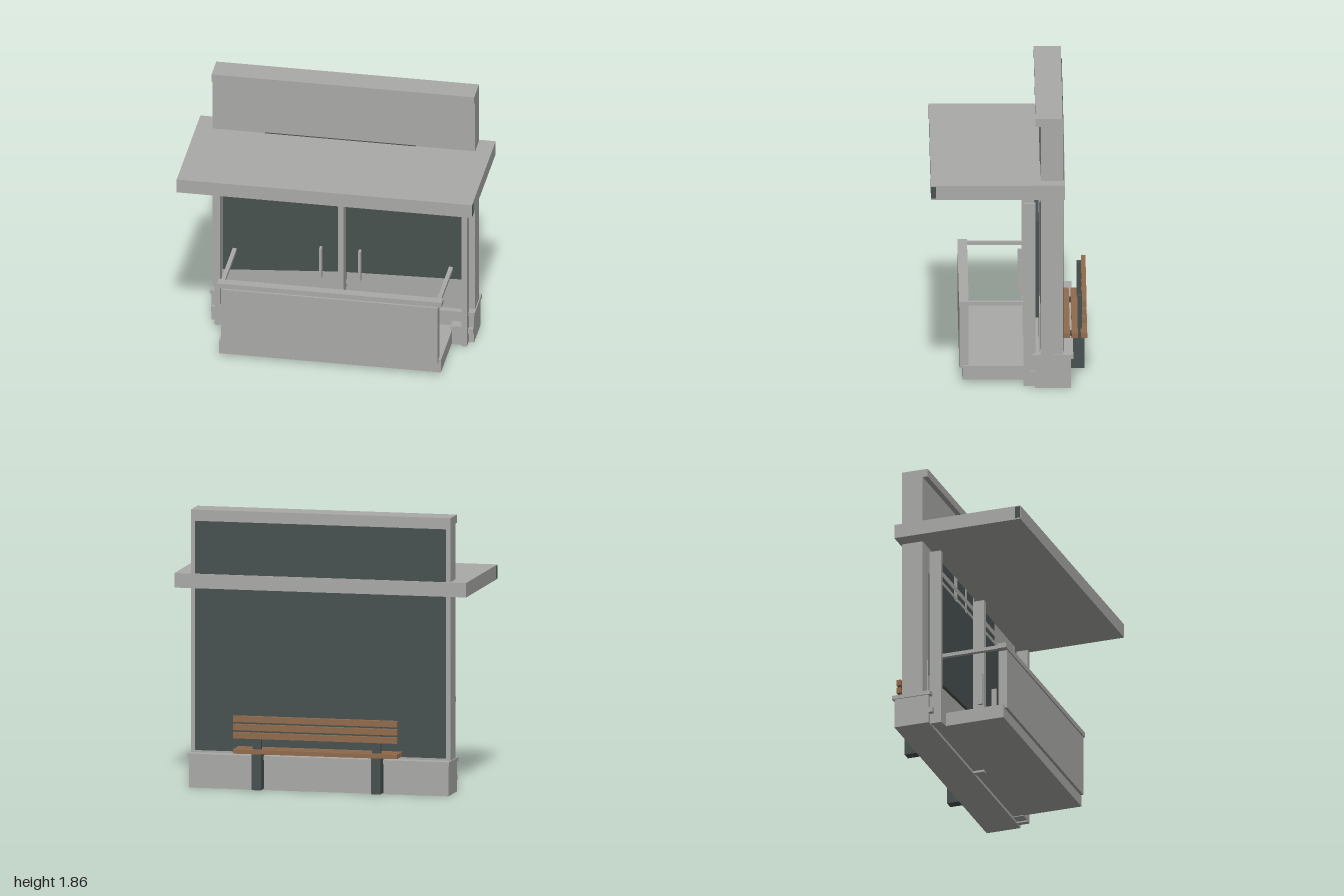
import * as THREE from 'three';

const mat = (name, color) => {
  const m = new THREE.MeshStandardMaterial({ color });
  m.name = name;
  return m;
};

export function createModel() {
  const model = new THREE.Group();
  model.name = 'kioskWithBench';
  const grey = mat('concreteGrey', 0xaaaaa8);
  const dark = mat('darkSlate', 0x485250);
  const wood = mat('benchWood', 0x916b4d);

  // Box given by its limits on each axis
  const box = (name, m, x0, x1, y0, y1, z0, z1, parent = model) => {
    const mesh = new THREE.Mesh(new THREE.BoxGeometry(x1 - x0, y1 - y0, z1 - z0), m);
    mesh.position.set((x0 + x1) / 2, (y0 + y1) / 2, (z0 + z1) / 2);
    mesh.name = name;
    parent.add(mesh);
    return mesh;
  };
  // Box and its mirror image across x = 0
  const pair = (name, m, x0, x1, ...rest) => {
    box(name + 'Left', m, x0, x1, ...rest);
    box(name + 'Right', m, -x1, -x0, ...rest);
  };

  // Wall, its coping, and the back panel
  box('wall', grey, -0.885, 0.885, 0.2, 1.81, -0.355, -0.21);
  box('wallCap', grey, -0.885, 0.885, 1.805, 1.86, -0.355, -0.175);
  box('backPanel', dark, -0.855, 0.855, 0.25, 1.785, -0.361, -0.353);

  // Canopy with dark end plates near its front edge
  box('canopy', grey, -0.995, 0.995, 1.335, 1.432, -0.37, 0.52);
  pair('canopyEndPlate', dark, 0.992, 0.998, 1.345, 1.425, 0.485, 0.518);

  // Plinth
  box('plinth', grey, -0.885, 0.885, 0.005, 0.215, -0.41, -0.17);
  box('plinthCap', grey, -0.892, 0.892, 0.208, 0.235, -0.425, -0.155);
  pair('plinthFoot', grey, 0.80, 0.883, 0.08, 0.118, -0.175, -0.142);
  pair('plinthBlock', grey, 0.74, 0.82, 0.02, 0.155, -0.175, -0.095);

  // Latticed window behind the panels
  box('windowPane', dark, -0.53, 0.485, 0.27, 1.437, -0.212, -0.206);
  for (const x of [-0.29, -0.255, -0.075, 0.075, 0.25, 0.285])
    box('windowBar', grey, x - 0.01, x + 0.01, 0.25, 1.40, -0.21, -0.201);
  for (const [y, h] of [[1.25, 0.035], [1.185, 0.022], [0.36, 0.03], [0.31, 0.03]])
    box('windowRail', grey, -0.535, 0.488, y - h / 2, y + h / 2, -0.21, -0.201);

  // Dark front panels with slightly slanted lower edges
  const panel = (name, x0, x1, yb0, yb1) => {
    const s = new THREE.Shape([
      new THREE.Vector2(x0, yb0), new THREE.Vector2(x1, yb1),
      new THREE.Vector2(x1, 1.13), new THREE.Vector2(x0, 1.13),
    ]);
    const mesh = new THREE.Mesh(new THREE.ExtrudeGeometry(s, { depth: 0.022, bevelEnabled: false }), dark);
    mesh.position.z = -0.198;
    mesh.name = name;
    model.add(mesh);
  };
  panel('frontPanelRight', -0.81, -0.015, 0.39, 0.45);
  panel('frontPanelLeft', 0.015, 0.805, 0.45, 0.47);
  pair('lowerPanel', grey, 0.02, 0.81, 0.2, 0.5, -0.208, -0.199);

  // Posts and door handles
  pair('sidePost', grey, 0.815, 0.85, 0.01, 1.265, -0.175, -0.095);
  box('centrePost', grey, -0.02, 0.02, 0.01, 1.265, -0.175, -0.095);
  pair('handle', grey, 0.123, 0.14, 0.45, 0.675, -0.095, -0.063);

  // Counter enclosure: floor, front panel, ledge and side rails
  box('enclosureFloor', grey, -0.748, 0.748, 0.025, 0.12, -0.17, 0.31);
  box('counterFront', grey, -0.73, 0.73, 0.1, 0.52, 0.268, 0.33);
  box('counterLedge', grey, -0.757, 0.757, 0.53, 0.565, 0.268, 0.332);
  box('ledgeSupport', grey, -0.02, 0.02, 0.515, 0.535, 0.285, 0.315);
  pair('sideRail', grey, 0.715, 0.742, 0.535, 0.56, -0.175, 0.27);

  // Bench at the back
  const bench = new THREE.Group();
  bench.name = 'bench';
  model.add(bench);
  for (const z of [-0.405, -0.46, -0.52])
    box('seatSlat', wood, -0.56, 0.56, 0.258, 0.287, z, z + 0.043, bench);
  for (const y of [0.36, 0.415, 0.47])
    box('backSlat', wood, -0.56, 0.56, y, y + 0.04, -0.516, -0.485, bench);
  for (const x of [-0.41, 0.405]) {
    box('benchLeg', dark, x - 0.032, x + 0.032, 0.015, 0.255, -0.502, -0.41, bench);
    box('seatBracket', dark, x - 0.032, x + 0.032, 0.238, 0.258, -0.502, -0.36, bench);
    box('backSupport', dark, x - 0.03, x + 0.03, 0.25, 0.51, -0.485, -0.455, bench);
  }
  return model;
}
